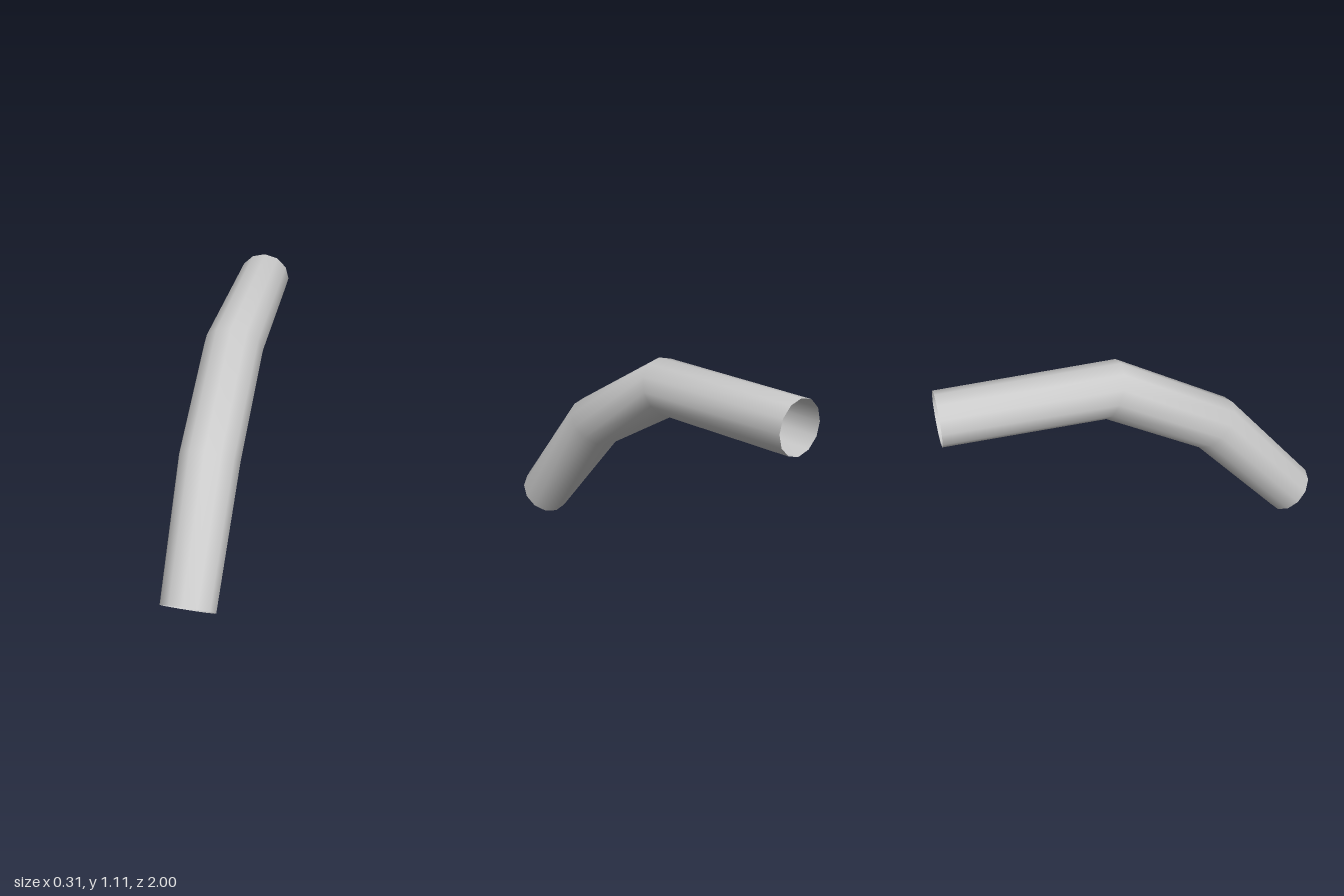
import * as THREE from 'three';

const SIDES = 12;

// Mitred cross-sections from front to back: top and bottom points as [y, z], half width in x
const RINGS = [
  { top: [0.20, 1.0], bottom: [0.0, 0.805], halfWidth: 0.14 },
  { top: [0.76, 0.525], bottom: [0.545, 0.31], halfWidth: 0.154 },
  { top: [1.108, -0.08], bottom: [0.828, -0.19], halfWidth: 0.154 },
  { top: [1.102, -1.0], bottom: [0.826, -1.0], halfWidth: 0.14 },
];

// Joins the elliptical rings into one smooth open tube
function tubeGeometry(rings) {
  const positions = [];
  const indices = [];
  rings.forEach(({ top, bottom, halfWidth }, i) => {
    for (let j = 0; j < SIDES; j++) {
      const a = (j / SIDES) * Math.PI * 2;
      const t = (1 + Math.cos(a)) / 2;
      positions.push(
        halfWidth * Math.sin(a),
        THREE.MathUtils.lerp(bottom[0], top[0], t),
        THREE.MathUtils.lerp(bottom[1], top[1], t),
      );
      if (i === rings.length - 1) continue;
      const k = (j + 1) % SIDES;
      const p = i * SIDES + j, q = i * SIDES + k;
      indices.push(p, q, p + SIDES, q, q + SIDES, p + SIDES);
    }
  });
  const geometry = new THREE.BufferGeometry();
  geometry.setAttribute('position', new THREE.Float32BufferAttribute(positions, 3));
  geometry.setIndex(indices);
  geometry.computeVertexNormals();
  return geometry;
}

export function createModel() {
  const group = new THREE.Group();
  group.name = 'bentPipe';

  // Thin-walled pipe, open at both ends
  const material = new THREE.MeshStandardMaterial({ color: 0xcccccc, side: THREE.DoubleSide });
  const pipe = new THREE.Mesh(tubeGeometry(RINGS), material);
  pipe.name = 'pipeWall';
  group.add(pipe);

  return group;
}
